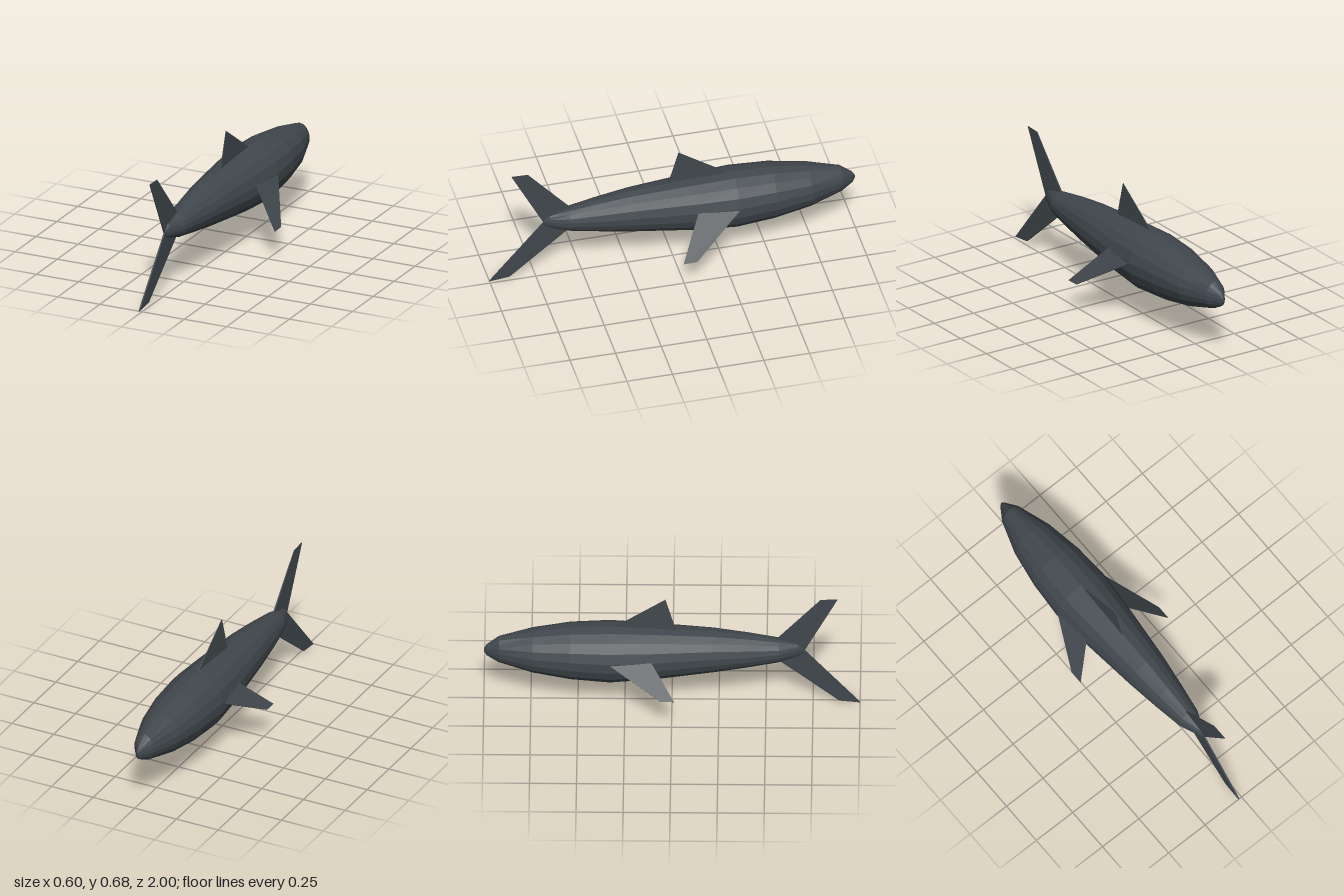
import * as THREE from 'three';

const CX = -0.015; // midline of the body
const SIDES = 18;

// Indexed mesh with flat facets
function facetMesh(name, positions, index, material) {
  const geometry = new THREE.BufferGeometry();
  geometry.setAttribute('position', new THREE.Float32BufferAttribute(positions, 3));
  geometry.setIndex(index);
  const flat = geometry.toNonIndexed();
  flat.computeVertexNormals();
  const mesh = new THREE.Mesh(flat, material);
  mesh.name = name;
  return mesh;
}

// Body lofted through elliptical sections: [z, bottom, top, half width, y of widest point]
function buildBody(material) {
  const sections = [
    [-1.0, 0.325, 0.345, 0.003, 0.335],
    [-0.985, 0.30, 0.37, 0.018, 0.335],
    [-0.92, 0.265, 0.417, 0.06, 0.335],
    [-0.74, 0.215, 0.458, 0.12, 0.335],
    [-0.54, 0.18, 0.487, 0.153, 0.335],
    [-0.33, 0.163, 0.497, 0.166, 0.33],
    [-0.10, 0.18, 0.487, 0.148, 0.33],
    [0.22, 0.222, 0.466, 0.115, 0.34],
    [0.40, 0.25, 0.443, 0.09, 0.34],
    [0.57, 0.278, 0.414, 0.063, 0.345],
    [0.67, 0.308, 0.388, 0.022, 0.345],
    [0.705, 0.33, 0.355, 0.004, 0.345]
  ];
  const positions = [], index = [];
  for (const [z, bottom, top, w, mid] of sections) {
    for (let j = 0; j < SIDES; j++) {
      const a = (j / SIDES) * Math.PI * 2 + Math.PI / 2;
      const s = Math.sin(a);
      positions.push(CX + Math.cos(a) * w, mid + s * (s > 0 ? top - mid : mid - bottom), z);
    }
  }
  for (let i = 0; i < sections.length - 1; i++) {
    for (let j = 0; j < SIDES; j++) {
      const a = i * SIDES + j, b = i * SIDES + (j + 1) % SIDES;
      index.push(a, b, a + SIDES, b, b + SIDES, a + SIDES);
    }
  }
  // Nose and tail caps
  const last = (sections.length - 1) * SIDES;
  for (let j = 1; j < SIDES - 1; j++) {
    index.push(0, j + 1, j, last, last + j, last + j + 1);
  }
  return facetMesh('body', positions, index, material);
}

// Thin fin: corner outline [x, y, z, half thickness], given a solid edge
function buildFin(name, corners, material) {
  const n = corners.length;
  const p = corners.map(c => new THREE.Vector3(c[0], c[1], c[2]));
  const normal = p[1].clone().sub(p[0]).cross(p[2].clone().sub(p[0])).normalize();
  const positions = [], index = [];
  for (const side of [1, -1]) {
    p.forEach((v, i) => positions.push(...v.clone().addScaledVector(normal, side * corners[i][3]).toArray()));
  }
  for (let i = 1; i < n - 1; i++) index.push(0, i, i + 1, n, n + i + 1, n + i);
  for (let i = 0; i < n; i++) {
    const k = (i + 1) % n;
    index.push(i, n + i, n + k, i, n + k, k);
  }
  return facetMesh(name, positions, index, material);
}

export function createModel() {
  const group = new THREE.Group();
  group.name = 'shark';
  const skin = new THREE.MeshStandardMaterial({ color: 0x40474c, flatShading: true, side: THREE.DoubleSide });

  group.add(buildBody(skin));

  // Dorsal fin
  group.add(buildFin('dorsalFin', [
    [CX, 0.46, -0.32, 0.003], [CX, 0.495, -0.30, 0.003],
    [CX, 0.675, -0.035, 0.0015], [CX - 0.003, 0.46, 0.025, 0.003]
  ], skin));

  // Tail: short upper lobe and long lower lobe
  group.add(buildFin('upperTailFin', [
    [CX, 0.41, 0.55, 0.004], [CX, 0.68, 0.79, 0.0015],
    [CX, 0.683, 0.88, 0.0015], [CX, 0.345, 0.705, 0.004]
  ], skin));
  group.add(buildFin('lowerTailFin', [
    [CX, 0.285, 0.56, 0.004], [CX, 0.345, 0.705, 0.004],
    [CX - 0.003, 0.003, 1.0, 0.004], [CX - 0.003, 0.015, 0.89, 0.004]
  ], skin));

  // Pectoral fins, swept back and down, the left one hanging slightly lower
  for (const [name, s, tipY] of [['leftPectoralFin', 1, 0.172], ['rightPectoralFin', -1, 0.21]]) {
    const root = CX + s * 0.152, tip = s * 0.3;
    group.add(buildFin(name, [
      [root, 0.362, -0.35, 0.002], [tip, tipY, -0.06, 0.001],
      [tip, tipY - 0.002, 0.015, 0.001], [CX + s * 0.142, 0.362, -0.11, 0.002]
    ], skin));
  }
  return group;
}
